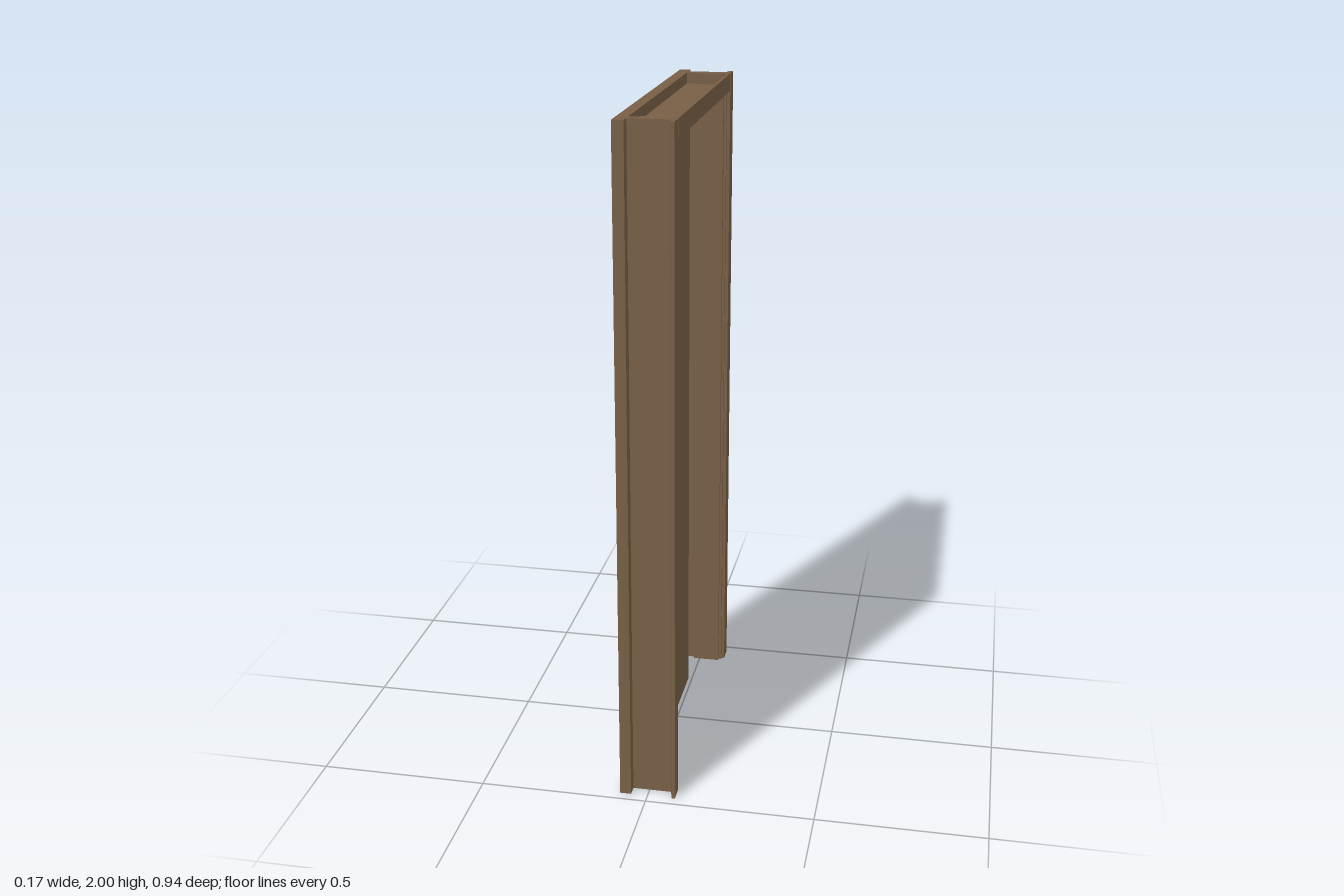
import * as THREE from 'three';

const wood = new THREE.MeshStandardMaterial({ color: 0x785f46 });
wood.name = 'brown wood';
const metal = new THREE.MeshStandardMaterial({ color: 0xd6d6d6 });
metal.name = 'light metal';
const black = new THREE.MeshStandardMaterial({ color: 0x141414 });
black.name = 'black handle';

// Frame section as [x, distance outward from the opening's centre line]
const JAMB = [
  [-0.083, 0.41], [-0.083, 0.47], [-0.05, 0.47], [-0.05, 0.437], [0.073, 0.437],
  [0.073, 0.41], [0.065, 0.41], [0.065, 0.4], [-0.02, 0.4], [-0.02, 0.41],
];
const CASING = [[0.073, 0.418], [0.083, 0.418], [0.083, 0.47], [0.073, 0.47], [0.065, 0.437], [0.065, 0.418]];

export function createModel() {
  const model = new THREE.Group();
  model.name = 'door';

  const add = (name, geometry, material, parent = model) => {
    const mesh = new THREE.Mesh(geometry, material);
    mesh.name = name;
    parent.add(mesh);
    return mesh;
  };
  // Box given by its limits on each axis
  const box = (name, [x0, x1], [y0, y1], [z0, z1], material = wood, parent = model) => {
    const mesh = add(name, new THREE.BoxGeometry(x1 - x0, y1 - y0, z1 - z0), material, parent);
    mesh.position.set((x0 + x1) / 2, (y0 + y1) / 2, (z0 + z1) / 2);
    return mesh;
  };
  const extrude = (points, depth) => new THREE.ExtrudeGeometry(
    new THREE.Shape(points.map(([a, b]) => new THREE.Vector2(a, b))), { depth, bevelEnabled: false });

  // Side jambs and head share one section
  const frame = new THREE.Group();
  frame.name = 'frame';
  model.add(frame);
  for (const [label, section] of [['Jamb', JAMB], ['Casing', CASING]]) {
    for (const side of [1, -1]) {
      const g = extrude(section.map(([x, d]) => [x, -d * side]), 2);
      g.rotateX(-Math.PI / 2);
      add((side > 0 ? 'front' : 'back') + label, g, wood, frame);
    }
    const head = extrude(section.map(([x, d]) => [x, d + 1.53]), 0.82);
    head.translate(0, 0, -0.41);
    add('head' + label, head, wood, frame);
  }
  box('sill', [-0.083, -0.05], [0, 0.035], [-0.41, 0.41], wood, frame);

  // Leaf: border with an inset panel
  const leaf = new THREE.Group();
  leaf.name = 'leaf';
  model.add(leaf);
  const rect = (w, y0, y1) => [[-w, y0], [w, y0], [w, y1], [-w, y1]].map(([a, b]) => new THREE.Vector2(a, b));
  const border = new THREE.Shape(rect(0.41, 0.001, 1.94));
  border.holes.push(new THREE.Path(rect(0.385, 0.037, 1.92)));
  const borderGeometry = new THREE.ExtrudeGeometry(border, { depth: 0.012, bevelEnabled: false });
  borderGeometry.rotateY(-Math.PI / 2);
  borderGeometry.translate(-0.051, 0, 0);
  add('leafBorder', borderGeometry, wood, leaf);
  box('leafPanel', [-0.061, -0.054], [0.037, 1.92], [-0.385, 0.385], wood, leaf);
  box('centrePanel', [-0.055, -0.012], [0, 1.932], [-0.255, 0.105], wood, leaf);

  // Metal inlays show on both faces
  box('verticalInlay', [-0.064, -0.05], [0.037, 1.92], [-0.264, -0.256], metal, leaf);
  for (const y of [0.7, 0.855]) {
    box('horizontalInlay', [-0.064, -0.05], [y - 0.005, y + 0.005], [-0.256, 0.385], metal, leaf);
  }

  // Fluted band between the horizontal inlays
  const count = 20, pitch = 0.641 / count;
  for (let i = 0; i < count; i++) {
    const z = -0.256 + i * pitch;
    box('flute', [-0.066, -0.06], [0.705, 0.85], [z + 0.004, z + pitch - 0.004], wood, leaf);
  }

  // Handle plate, spindle and lever
  const handle = new THREE.Group();
  handle.name = 'handle';
  model.add(handle);
  box('handlePlate', [-0.072, -0.06], [0.7, 0.935], [-0.38, -0.335], black, handle);
  const spindle = add('spindle', new THREE.CylinderGeometry(0.011, 0.011, 0.014, 16), black, handle);
  spindle.rotation.z = Math.PI / 2;
  spindle.position.set(-0.075, 0.82, -0.357);
  box('lever', [-0.083, -0.075], [0.811, 0.829], [-0.368, -0.255], black, handle);

  return model;
}
